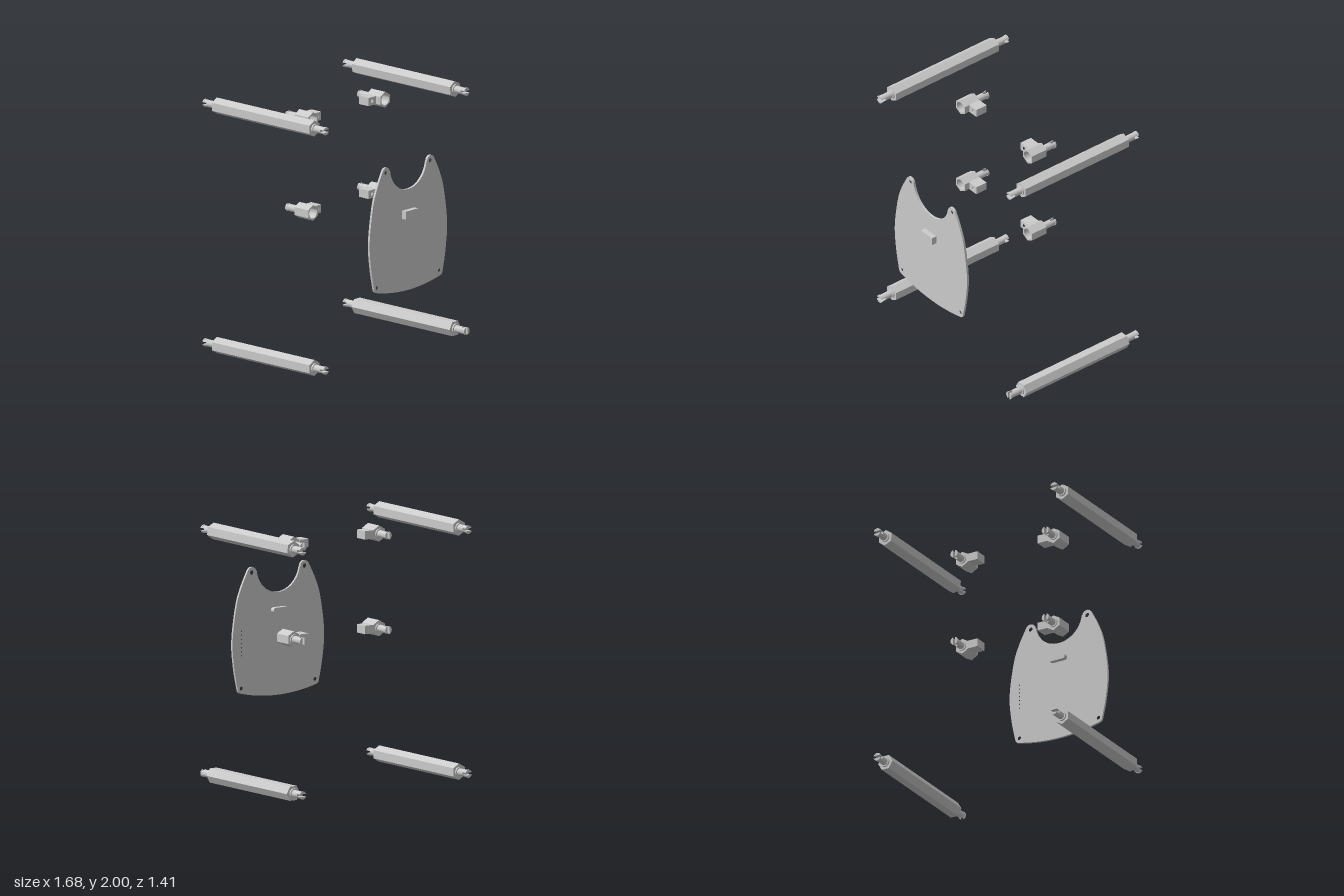
import * as THREE from 'three';
import { toCreasedNormals } from 'three/addons/utils/BufferGeometryUtils.js';

const material = new THREE.MeshStandardMaterial({ color: 0xcccccc });
const flat = new THREE.MeshStandardMaterial({ color: 0xcccccc, flatShading: true });

function add(parent, name, geometry, mat = material) {
  const mesh = new THREE.Mesh(geometry, mat);
  mesh.name = name;
  parent.add(mesh);
  return mesh;
}

// Prism of a shape running from z0 to z1
function prism(shape, z0, z1) {
  const g = new THREE.ExtrudeGeometry(shape, { depth: z1 - z0, bevelEnabled: false, curveSegments: 24 });
  return toCreasedNormals(g.translate(0, 0, z0), 0.5);
}

// Round or hexagonal bar along z
function bar(radius, z0, z1, sides = 24) {
  return new THREE.CylinderGeometry(radius, radius, z1 - z0, sides)
    .rotateX(Math.PI / 2).translate(0, 0, (z0 + z1) / 2);
}

function circle(x, y, r) {
  return new THREE.Path().absarc(x, y, r, 0, Math.PI * 2, true);
}

function group(name, x, y, z) {
  const g = new THREE.Group();
  g.name = name;
  g.position.set(x, y, z);
  return g;
}

// Split snap pin pointing along +z
function makePin(name) {
  const pin = group(name, 0, 0, 0);
  add(pin, 'collar', bar(0.037, 0, 0.013));
  add(pin, 'shaft', bar(0.028, 0, 0.08));
  const half = (r) => {
    const a = Math.asin(0.01 / r);
    return new THREE.Shape().absarc(0, 0, r, a, Math.PI - a, false);
  };
  for (const turn of [0, Math.PI]) {
    add(pin, 'prong', prism(half(0.028), 0.08, 0.12)).rotation.z = turn;
    add(pin, 'lip', prism(half(0.031), 0.107, 0.12)).rotation.z = turn;
  }
  return pin;
}

// Hexagonal spacer rod with a pin at each end
function makeRod(name, x, y, z0, z1, turn, frontSlot) {
  const rod = group(name, x, y, 0);
  add(rod, 'hexBody', bar(0.063, z0, z1, 6), flat).rotation.z = turn;
  const front = makePin('frontPin');
  front.position.z = z1;
  front.rotation.z = frontSlot;
  const back = makePin('backPin');
  back.position.z = z0;
  back.rotation.y = Math.PI;
  rod.add(front, back);
  return rod;
}

// Hollow hex clip with a drilled side block (toward side * x) and a rear pin
function makeClip(name, x, y, side) {
  const clip = group(name, x, y, 0);
  const hex = new THREE.Shape();
  for (let i = 0; i < 6; i++) {
    const a = Math.PI / 6 + i * Math.PI / 3;
    const px = 0.062 * Math.cos(a), py = 0.062 * Math.sin(a);
    if (i) hex.lineTo(px, py); else hex.moveTo(px, py);
  }
  hex.holes.push(circle(0, 0, 0.043));
  add(clip, 'hexSocket', prism(hex, -0.04, 0.053));
  add(clip, 'hexBase', bar(0.062, -0.087, -0.04, 6), flat);

  const block = new THREE.Shape();
  const x0 = side * 0.05, x1 = side * 0.138;
  block.moveTo(x0, -0.032);
  block.lineTo(x1, -0.032);
  block.lineTo(x1, 0.032);
  block.lineTo(x0, 0.032);
  block.closePath();
  const solid = block.clone();
  block.holes.push(circle(side * 0.098, 0, 0.013));
  add(clip, 'sideBlockFront', prism(block, -0.06, 0.01));
  add(clip, 'sideBlockBack', prism(solid, -0.09, -0.06));

  const pin = makePin('rearPin');
  pin.position.z = -0.085;
  pin.rotation.set(0, Math.PI, Math.PI / 2);
  clip.add(pin);
  return clip;
}

// Outline of the board: right half, mirrored for the left
function boardShape(withPads) {
  const half = [];
  for (let i = 0; i <= 20; i++) {
    const a = -Math.PI / 2 + (i / 20) * 1.44;
    half.push(new THREE.Vector2(0.206 * Math.cos(a), 1.562 + 0.206 * Math.sin(a)));
  }
  for (let i = 0; i <= 12; i++) {
    const a = Math.PI - (i / 12) * 2.75;
    half.push(new THREE.Vector2(0.25 + 0.042 * Math.cos(a), 1.53 + 0.042 * Math.sin(a)));
  }
  const v = (x, y) => new THREE.Vector2(x, y);
  const flank = new THREE.SplineCurve([v(0.292, 1.54), v(0.35, 1.425), v(0.397, 1.284),
    v(0.434, 1.02), v(0.418, 0.81), v(0.383, 0.635)]);
  const corner = new THREE.QuadraticBezierCurve(v(0.383, 0.635), v(0.378, 0.615), v(0.357, 0.611));
  const base = new THREE.QuadraticBezierCurve(v(0.357, 0.611), v(0.18, 0.567), v(0, 0.567));
  half.push(...flank.getPoints(30).slice(1), ...corner.getPoints(5).slice(1), ...base.getPoints(14).slice(1));
  const mirrored = half.slice(1, -1).reverse().map((p) => v(-p.x, p.y));
  const shape = new THREE.Shape([...half, ...mirrored]);

  // Mounting holes and the row of small holes
  for (const s of [-1, 1]) {
    shape.holes.push(circle(s * 0.25, 1.53, 0.018), circle(s * 0.35, 0.65, 0.016));
  }
  for (let i = 0; i < 7; i++) shape.holes.push(circle(0.348, 1.09 - i * 0.0315, 0.007));
  // Shallow pits on the rear face
  if (withPads) {
    const pits = [[0.28, 1.04], [0.25, 1.03], [0.27, 0.985], [0.27, 0.94], [0.29, 0.9],
      [0.24, 0.92], [0.2, 0.95], [0.185, 0.91]];
    for (const [x, y] of pits) shape.holes.push(circle(x, y, 0.006));
  }
  return shape;
}

function makeBoard() {
  const board = group('board', -0.01, 0, 0);
  add(board, 'frontPlate', prism(boardShape(false), 0.653, 0.663));
  add(board, 'rearPlate', prism(boardShape(true), 0.645, 0.653));
  add(board, 'frontConnector', new THREE.BoxGeometry(0.135, 0.063, 0.044).translate(-0.003, 1.168, 0.682));
  // Rounded rear connector
  const slot = new THREE.Shape();
  slot.absarc(0.05, 1.222, 0.021, -Math.PI / 2, Math.PI / 2, false);
  slot.absarc(-0.054, 1.222, 0.021, Math.PI / 2, Math.PI * 1.5, false);
  add(board, 'rearConnector', prism(slot, 0.609, 0.647));
  return board;
}

export function createModel() {
  const model = new THREE.Group();
  model.name = 'mountingKit';
  model.add(makeBoard());

  // Four corner rods
  model.add(
    makeRod('upperRightRod', -0.79, 1.938, -0.585, 0.413, 0, 0),
    makeRod('lowerRightRod', -0.79, 0.065, -0.585, 0.413, 0, 0),
    makeRod('upperLeftRod', 0.777, 1.938, -0.58, 0.423, 0.1, 0),
    makeRod('lowerLeftRod', 0.777, 0.065, -0.58, 0.423, Math.PI / 6, Math.PI / 2),
  );

  // Two pairs of clips with their blocks facing inward
  for (const [level, y] of [['upper', 1.863], ['lower', 1.137]]) {
    model.add(makeClip(level + 'RightClip', -0.41, y, 1));
    model.add(makeClip(level + 'LeftClip', 0.398, y, -1));
  }
  return model;
}
